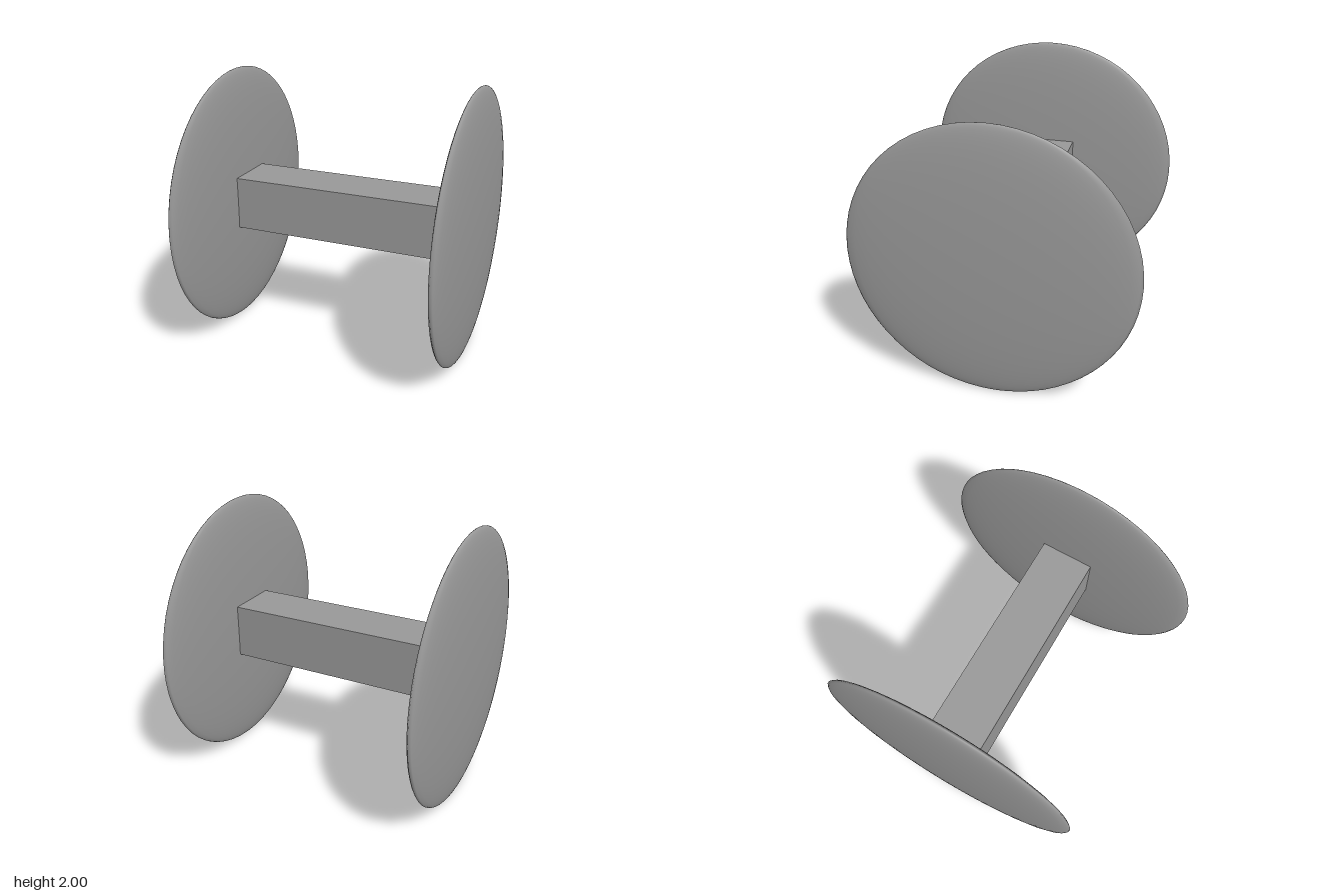
import * as THREE from 'three';

export function createModel() {
  const model = new THREE.Group();
  const grey = new THREE.MeshStandardMaterial({ color: 0x999999 });
  grey.name = 'mid grey';

  // Square axle running between the two discs
  const axle = new THREE.Mesh(new THREE.BoxGeometry(1.84, 0.4, 0.4), grey);
  axle.name = 'axle';
  axle.position.y = 1;
  model.add(axle);

  // Flattened round end discs, thinning to the rim
  const discGeometry = new THREE.SphereGeometry(1, 32, 32).scale(0.078, 1, 1);
  for (const side of [-1, 1]) {
    const disc = new THREE.Mesh(discGeometry, grey);
    disc.name = side > 0 ? 'leftDisc' : 'rightDisc';
    disc.position.set(side * 0.922, 1, 0);
    model.add(disc);
  }
  return model;
}
